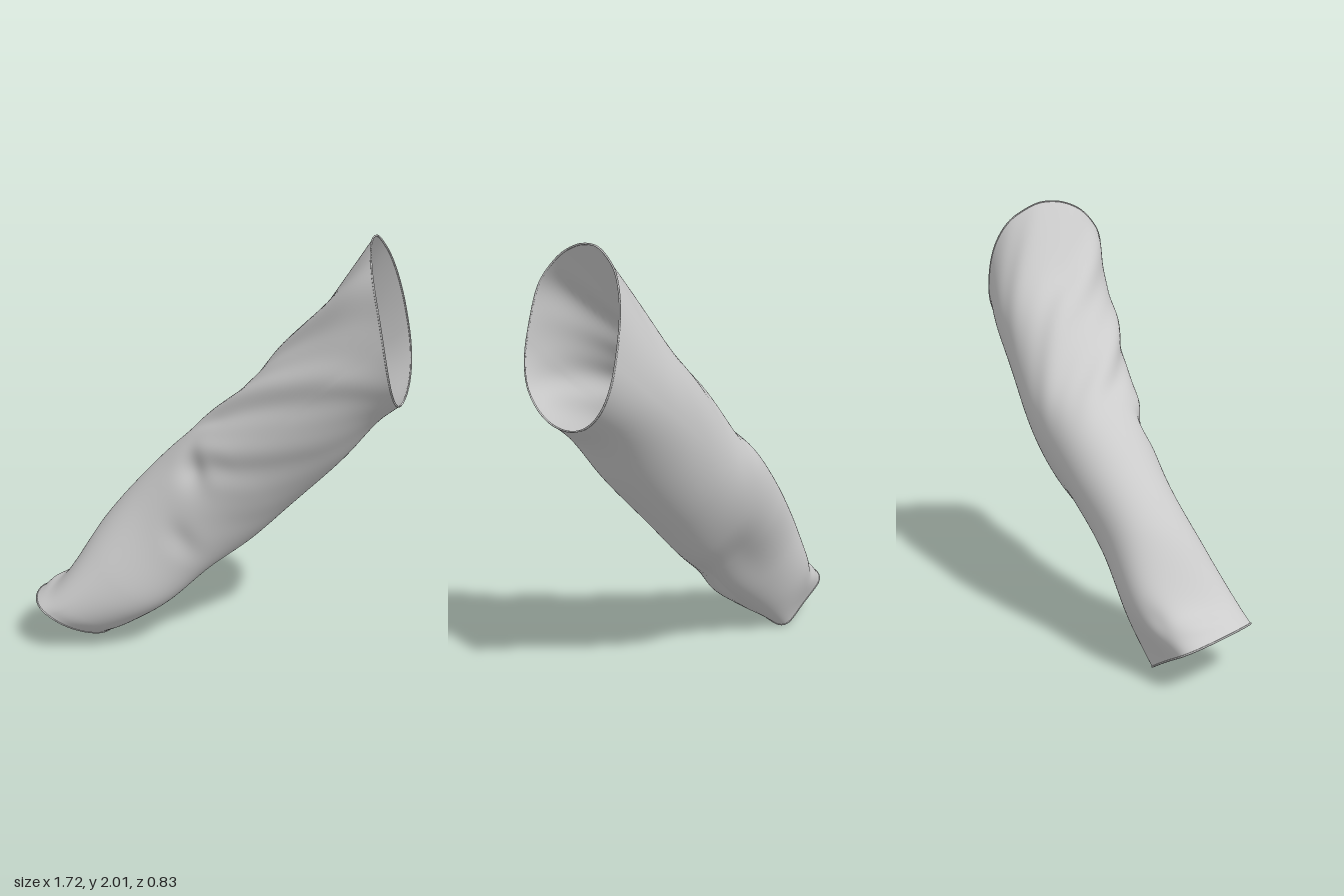
import * as THREE from 'three';

// Each station along the arm: upper, front, lower and back point of the cross-section
const STATIONS = [
  [[-0.86, 0.21, 0.14], [-0.68, 0.2, 0.415], [-0.52, 0.005, 0.11], [-0.72, 0.1, 0.03]],
  [[-0.70, 0.34, 0.13], [-0.58, 0.25, 0.395], [-0.37, 0.11, 0.1], [-0.58, 0.28, -0.08]],
  [[-0.53, 0.62, 0.07], [-0.39, 0.40, 0.325], [-0.17, 0.27, 0.05], [-0.38, 0.51, -0.145]],
  [[-0.335, 0.86, 0], [-0.19, 0.61, 0.235], [0, 0.42, 0], [-0.19, 0.71, -0.235]],
  [[-0.13, 1.07, -0.06], [0.03, 0.85, 0.19], [0.18, 0.56, -0.06], [-0.01, 0.88, -0.305]],
  [[0.06, 1.235, -0.08], [0.2, 1.02, 0.185], [0.37, 0.755, -0.08], [0.18, 1.03, -0.35]],
  [[0.26, 1.45, -0.1], [0.42, 1.22, 0.19], [0.6, 1.0, -0.1], [0.4, 1.25, -0.385]],
  [[0.47, 1.67, -0.11], [0.62, 1.42, 0.195], [0.75, 1.19, -0.1], [0.62, 1.42, -0.41]],
  [[0.70, 1.99, -0.1], [0.82, 1.6, 0.2], [0.85, 1.28, -0.1], [0.80, 1.57, -0.41]],
];
const RAILS = [0, 1, 2, 3].map(k =>
  new THREE.CatmullRomCurve3(STATIONS.map(s => new THREE.Vector3(...s[k])), false, 'catmullrom', 0.5));

// Local dents and bulges: position along arm, angle, size along, size around, depth
const DENTS = [
  [0.5, 1.15, 0.03, 0.35, -0.025],
  [0.41, 1.9, 0.025, 0.35, -0.015],
  [0.36, -2.4, 0.16, 0.6, -0.042],
  [0.24, 2.4, 0.13, 0.6, 0.035],
  [0.06, 0.0, 0.03, 0.5, 0.015],
  [0.09, -0.9, 0.04, 0.4, -0.015],
  [0.97, 0.75, 0.06, 0.3, 0.012],
];
const smooth = THREE.MathUtils.smoothstep;

// Cloth relief: folds spiralling over the upper side plus the dents
function relief(t, a) {
  const spiral = a - 5 * t;
  const upper = Math.pow(0.5 + 0.5 * Math.cos(a - 0.6), 2);
  const along = smooth(t, 0.42, 0.62) * (1 - 0.4 * smooth(t, 0.85, 1));
  let d = 0.011 * along * upper * (Math.sin(6 * spiral) + 0.35 * Math.sin(11 * spiral + 1));
  for (const [t0, a0, st, sa, depth] of DENTS) {
    d += depth * Math.exp(-(((t - t0) / st) ** 2) - ((a - a0) / sa) ** 2);
  }
  return d;
}

// Point on the sleeve at length t (0 wrist, 1 shoulder) and angle a (0 top, +90 degrees front)
function sleevePoint(t, a) {
  const [A, F, B, K] = RAILS.map(r => r.getPoint(t));
  const center = A.clone().add(F).add(B).add(K).multiplyScalar(0.25);
  // Squarer corners on the lower wrist and the upper shoulder
  const e = 1 - 0.2 * (Math.cos(a) > 0 ? smooth(t, 0.6, 1) : 1 - smooth(t, 0, 0.2));
  const power = v => Math.sign(v) * Math.pow(Math.abs(v), e);
  const bend = A.clone().add(B).sub(F).sub(K).multiplyScalar(0.25);
  const p = center.clone()
    .addScaledVector(A.clone().sub(B), 0.5 * power(Math.cos(a)))
    .addScaledVector(F.clone().sub(K), 0.5 * power(Math.sin(a)))
    .addScaledVector(bend, Math.cos(2 * a));
  return p.addScaledVector(p.clone().sub(center).normalize(), relief(t, a));
}

function sleeveGeometry(rows, cols) {
  const pos = [], index = [];
  for (let i = 0; i <= rows; i++) {
    for (let j = 0; j < cols; j++) {
      pos.push(...sleevePoint(i / rows, -Math.PI + (2 * Math.PI * j) / cols).toArray());
      if (i === rows) continue;
      const a = i * cols + j, b = i * cols + ((j + 1) % cols);
      index.push(a, b, a + cols, b, b + cols, a + cols);
    }
  }
  const g = new THREE.BufferGeometry();
  g.setAttribute('position', new THREE.Float32BufferAttribute(pos, 3));
  g.setIndex(index);
  g.computeVertexNormals();
  return g;
}

export function createModel() {
  const model = new THREE.Group();
  model.name = 'sleeve';
  const cloth = new THREE.MeshStandardMaterial({ color: 0xcccccc, side: THREE.DoubleSide });
  const add = (geometry, name) => {
    const mesh = new THREE.Mesh(geometry, cloth);
    mesh.name = name;
    model.add(mesh);
  };

  add(sleeveGeometry(150, 112), 'sleeveCloth');

  // Thin rolled edges around both openings
  for (const [t, name] of [[0, 'wristHem'], [1, 'shoulderHem']]) {
    const loop = Array.from({ length: 56 }, (_, j) => sleevePoint(t, -Math.PI + (2 * Math.PI * j) / 56));
    add(new THREE.TubeGeometry(new THREE.CatmullRomCurve3(loop, true), 160, 0.004, 6, true), name);
  }
  return model;
}
